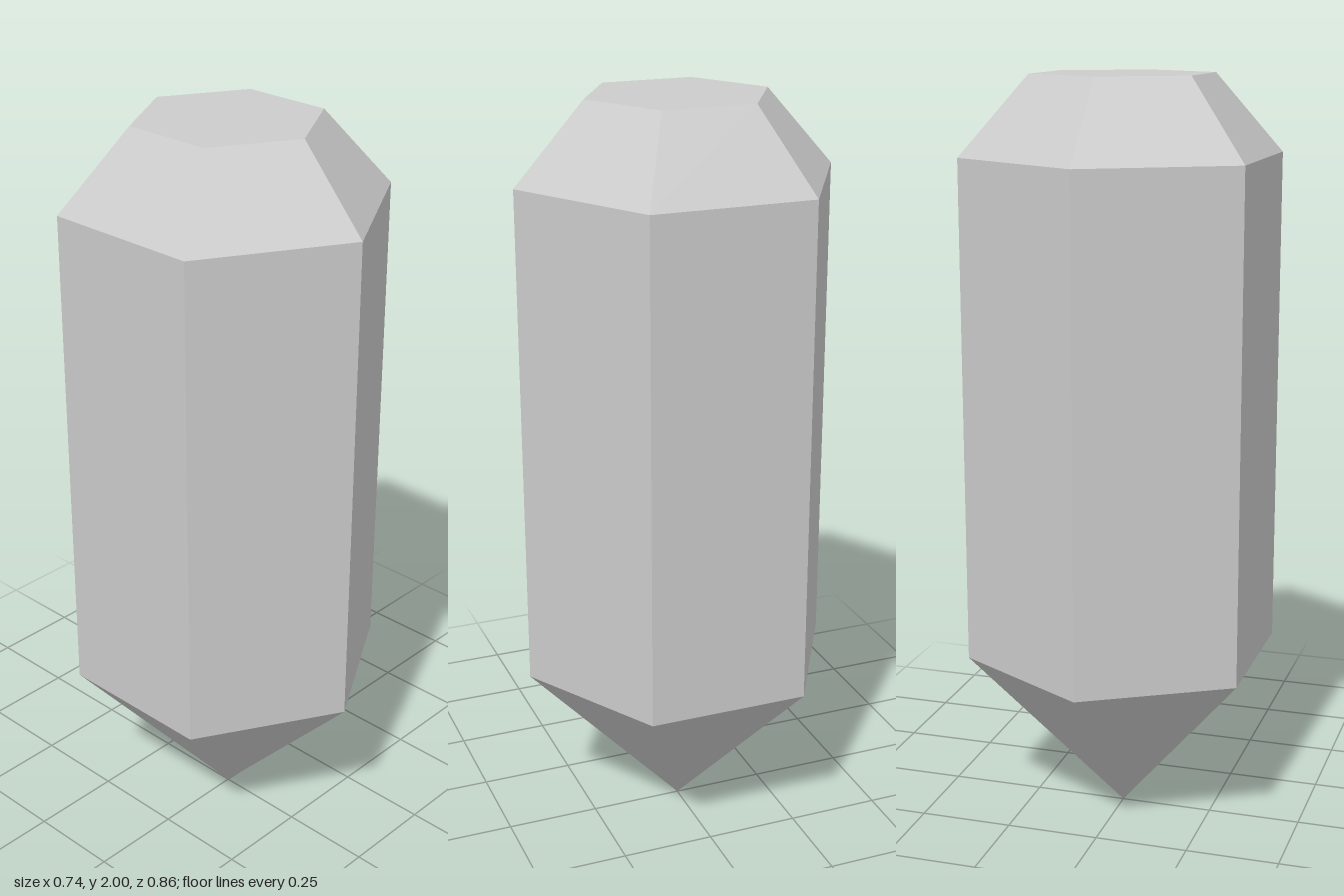
import * as THREE from 'three';

const SIDES = 6;
const GIRDLE = 0.428; // corner radius of the shaft
const TABLE = 0.244;  // corner radius of the flat top
const Y_SHAFT = 0.46, Y_CROWN = 1.795, Y_TOP = 2;

export function createModel() {
  const crystal = new THREE.Group();
  crystal.name = 'crystal';
  const material = new THREE.MeshStandardMaterial({ color: 0xcccccc, flatShading: true });

  const add = (name, geometry) => {
    const mesh = new THREE.Mesh(geometry, material);
    mesh.name = name;
    crystal.add(mesh);
  };

  // Open ring of six facets between two heights, with corners on +z and -z
  const facets = (name, y0, r0, y1, r1) => add(name,
    new THREE.CylinderGeometry(r1, r0, y1 - y0, SIDES, 1, true).translate(0, (y0 + y1) / 2, 0));

  facets('lowerPoint', 0, 0, Y_SHAFT, GIRDLE);
  facets('shaft', Y_SHAFT, GIRDLE, Y_CROWN, GIRDLE);
  facets('crownBevel', Y_CROWN, GIRDLE, Y_TOP, TABLE);

  // Flat hexagonal top closing the crown
  add('topFacet', new THREE.CircleGeometry(TABLE, SIDES, Math.PI / 2)
    .rotateX(-Math.PI / 2).translate(0, Y_TOP, 0));

  return crystal;
}
